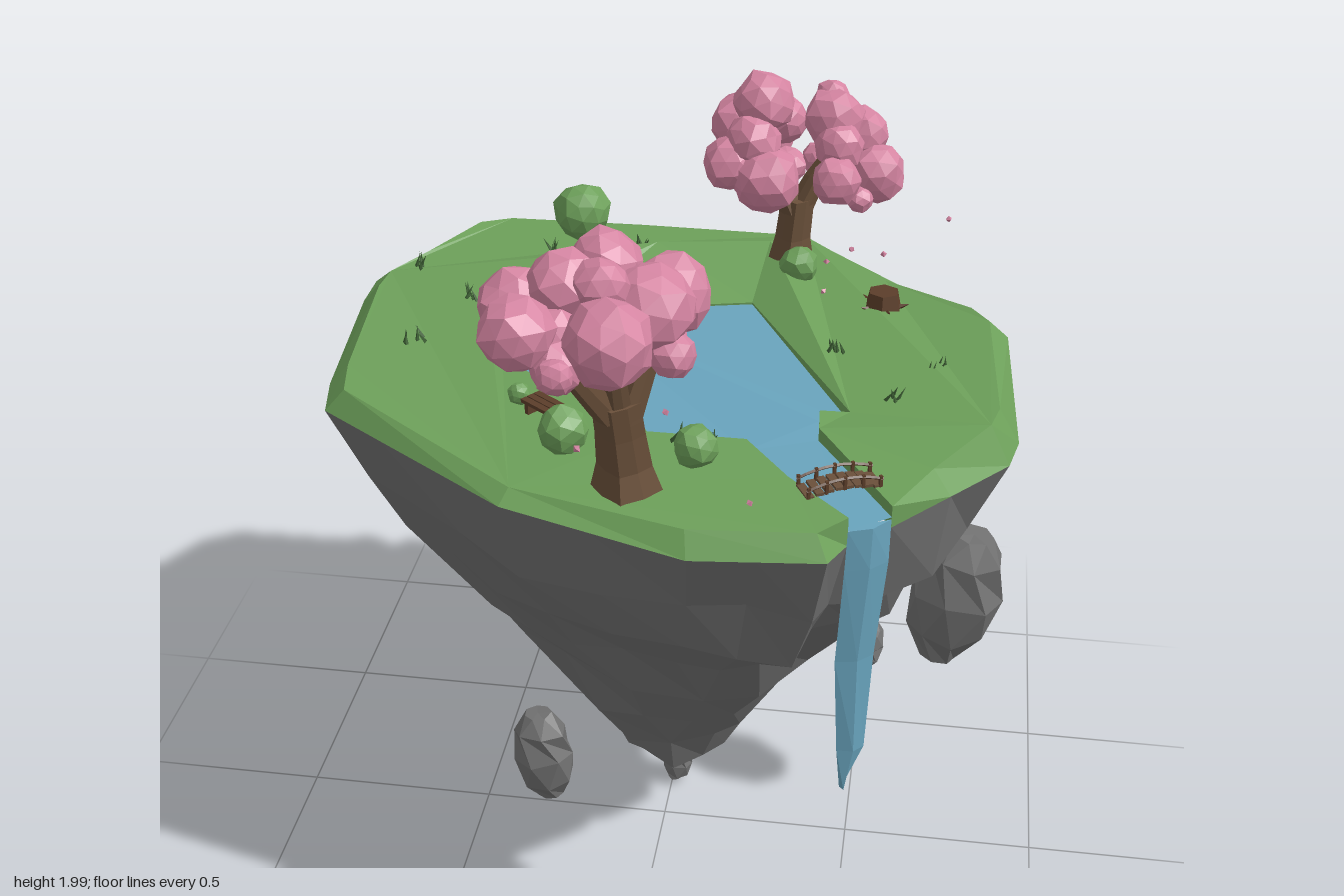
import * as THREE from 'three';

const paint = (name, color, side = THREE.FrontSide) =>
  new THREE.MeshStandardMaterial({ name, color, side, flatShading: true });

let seed = 7;
const rand = () => (seed = (seed * 16807) % 2147483647) / 2147483647;
const jit = (a) => (rand() - 0.5) * 2 * a;
const V = (x, y, z) => new THREE.Vector3(x, y, z);

function fromTriangles(tris) {
  const g = new THREE.BufferGeometry().setFromPoints(tris);
  g.computeVertexNormals();
  return g;
}

// Skins closed loops listed from top to bottom, clockwise seen from above
function loft(rings, capTop, capBottom) {
  const t = [], n = rings[0].length;
  const face = (a, b, c) => a !== b && b !== c && c !== a && t.push(a, b, c);
  const mid = (ring) => ring.reduce((s, p) => s.add(p), V(0, 0, 0)).divideScalar(n);
  const top = rings[0], low = rings[rings.length - 1];
  for (let i = 0; i < n; i++) {
    const j = (i + 1) % n;
    for (let r = 0; r < rings.length - 1; r++) {
      const A = rings[r], B = rings[r + 1];
      face(A[i], A[j], B[i]);
      face(A[j], B[j], B[i]);
    }
    if (capTop) face(top[j], top[i], mid(top));
    if (capBottom) face(low[i], low[j], mid(low));
  }
  return t;
}

// Fills a loop with upward-facing triangles
function fill(loop) {
  const t = [];
  for (const [a, b, c] of THREE.ShapeUtils.triangulateShape(loop.map((p) => new THREE.Vector2(p.x, p.z)), [])) {
    const A = loop[a], B = loop[b], C = loop[c];
    const up = (B.z - A.z) * (C.x - A.x) - (B.x - A.x) * (C.z - A.z) > 0;
    t.push(A, up ? B : C, up ? C : B);
  }
  return t;
}

// Island rim (x, z), starting and ending at the stream mouth
const RIM = [[0.485, 0.59], [0.45, 0.7], [0.15, 0.71], [-0.28, 0.6], [-0.79, 0.21], [-0.82, 0.07], [-0.867, -0.4],
  [-0.86, -0.5], [-0.78, -0.64], [-0.66, -0.83], [-0.58, -0.89], [-0.2, -0.9], [0.27, -0.875], [0.53, -0.65],
  [0.77, -0.44], [0.82, -0.36], [0.85, 0.12], [0.83, 0.2], [0.7, 0.38], [0.575, 0.52]];
// Pond and stream bank, from the right side of the mouth round to the left
const BANK = [[0.39, 0.21], [0.385, 0.13], [0.455, 0.11], [0.16, -0.47], [-0.29, -0.36], [-0.415, -0.06],
  [-0.02, 0.24], [0, 0.28], [0.23, 0.28], [0.34, 0.43]];
// Crest of the slope behind the pond
const CREST = [[0.18, -0.72], [-0.12, -0.67], [-0.37, -0.54], [-0.48, -0.2]];

export function createModel() {
  const model = new THREE.Group();
  model.name = 'floatingIsland';
  const rockMat = paint('rock grey', 0x717171);
  const grassMat = paint('grass green', 0x6da05a);
  const waterMat = paint('water blue', 0x69a4bd, THREE.DoubleSide);
  const blossomMat = paint('blossom pink', 0xd585a2);
  const barkMat = paint('bark brown', 0x6a503a);
  const plankMat = paint('plank brown', 0x5c3e2a);
  const tuftMat = paint('tuft green', 0x3f6136);

  const add = (name, geo, mat, pos = [0, 0, 0], parent = model) => {
    const m = new THREE.Mesh(geo, mat);
    m.name = name;
    m.position.set(...pos);
    parent.add(m);
    return m;
  };
  const group = (name, pos = [0, 0, 0]) => {
    const g = new THREE.Group();
    g.name = name;
    g.position.set(...pos);
    model.add(g);
    return g;
  };
  // Lumpy faceted ball for leaves
  const ball = (name, [x, y, z, r], mat, parent) => {
    const geo = new THREE.IcosahedronGeometry(1, 1), p = geo.attributes.position, o = rand() * 9;
    for (let i = 0; i < p.count; i++) {
      const k = r * (1.02 + 0.09 * Math.sin(p.getX(i) * 5 + o) * Math.cos(p.getY(i) * 6 + p.getZ(i) * 4 - o));
      p.setXYZ(i, p.getX(i) * k, p.getY(i) * k, p.getZ(i) * k);
    }
    geo.computeVertexNormals();
    add(name, geo, mat, [x, y, z], parent).rotation.set(rand() * 6, rand() * 6, rand() * 6);
  };

  // Grass cap with the pond cut out and a slope down to the water at the back
  const rimLow = RIM.map(([x, z], i) => V(x, (i === 3 || (x > 0.2 && z < -0.3) ? 1.355 : 1.325) + jit(0.012), z));
  const last = RIM.length - 1;
  const rimTop = RIM.map(([x, z], i) => {
    const s = i === 0 || i === last ? 1 : z < -0.8 ? 0.97 : 0.94;
    return V(x * s, 1.378 + (x > 0.75 ? 0.037 : 0) + jit(0.008), z * s);
  });
  const bankTop = BANK.map(([x, z]) => V(x, z < 0 && x < 0.4 ? 1.356 : 1.38 + jit(0.006), z));
  const bankLow = BANK.map(([x, z]) => V(x, 1.33, z));
  const crest = CREST.map(([x, z]) => V(x, z < -0.3 ? 1.42 : 1.395, z));
  const lawn = [...rimTop, ...bankTop.slice(0, 4), ...crest, ...bankTop.slice(5)];
  const slope = [...bankTop.slice(3, 6), ...crest.slice().reverse()];
  const walls = loft([[...rimTop, ...bankTop], [...rimLow, ...bankLow]]);
  add('grass', fromTriangles([...fill(lawn), ...fill(slope), ...walls]), grassMat);

  // Pond, stream and waterfall
  const pond = [...BANK, RIM[0], RIM[last]].map(([x, z]) => V(x, 1.352 + jit(0.004), z));
  add('pond', fromTriangles(fill(pond)), waterMat);
  const sheet = [[1.352, 0.485, 0.575, 0.594, 0.53], [1.25, 0.482, 0.575, 0.595, 0.54], [1.0, 0.472, 0.556, 0.588, 0.545],
    [0.75, 0.487, 0.548, 0.588, 0.562], [0.64, 0.498, 0.504, 0.584, 0.58]].map(([y, xl, xr, zl, zr]) =>
    [V(xr, y, zr), V((xl + xr) / 2 + 0.008, y, (zl + zr) / 2 + 0.012), V(xl, y, zl), V((xl + xr) / 2 - 0.004, y, (zl + zr) / 2 - 0.006)]);
  add('waterfall', fromTriangles(loft(sheet, true, true)), waterMat);

  // Rock underside, narrowing in rough rings that get rounder and coarser towards the tip
  const edge = [];
  rimLow.forEach((p, i) => {
    const q = rimLow[(i + 1) % rimLow.length], n = Math.ceil(p.distanceTo(q) / 0.3);
    for (let k = 0; k < n; k++) edge.push(p.clone().lerp(q, k / n));
  });
  const levels = [[1.13, 0.92, 0, 1], [1.0, 0.79, 0.08, 1], [0.85, 0.655, 0.2, 1], [0.69, 0.51, 0.45, 2],
    [0.51, 0.345, 0.75, 2], [0.36, 0.225, 1, 3], [0.265, 0.16, 1, 3]];
  const start = Math.atan2(edge[0].z, edge[0].x);
  const rockRings = levels.map(([y, s, round, step], r) => {
    const ring = [];
    edge.forEach((p, i) => {
      if (i % step) return ring.push(ring[i - 1]);
      const a = start + i / edge.length * Math.PI * 2, k = s * (1 + jit(0.05)), d = (1.3 - y) * 0.03;
      const q = p.clone().lerp(V(Math.cos(a) * 0.84, 0, Math.sin(a) * 0.84), round);
      return ring.push(V(q.x * k + d, y + jit(r === 6 ? 0.02 : 0.04), q.z * k - d));
    });
    return ring;
  });
  add('islandRock', fromTriangles(loft([edge, ...rockRings], false, true)), rockMat);

  // Floating boulders: centre, half sizes, then tilt about x and z
  [[0.74, 0.74, -0.1, 0.118, 0.2, 0.11, 0, -0.18], [0.525, 0.51, -0.17, 0.044, 0.07, 0.067, 0.3, -0.2],
    [-0.28, 0.375, 0.245, 0.082, 0.135, 0.076, 0, 0.1], [-0.17, 0.475, -0.685, 0.1, 0.155, 0.088, -0.32, 0],
    [0.015, 0.068, -0.155, 0.044, 0.064, 0.05, 0, -0.15]].forEach(([x, y, z, a, b, c, tx, tz]) => {
    const rings = [[0.97, 0.42], [0.6, 0.84], [0.05, 1], [-0.5, 0.84], [-0.97, 0.4]].map(([h, s], r) =>
      Array.from({ length: 7 }, (_, i) => {
        const t = (i + (r % 2) * 0.5) / 7 * Math.PI * 2, k = s * (1 + jit(0.08));
        return V(Math.cos(t) * a * k, (h + jit(r % 4 ? 0.08 : 0.03)) * b, Math.sin(t) * c * k);
      }));
    add('boulder', fromTriangles(loft(rings, true, true)), rockMat, [x, y, z]).rotation.set(tx, 0, tz);
  });

  // Trees: limbs are lists of [x, y, z, radius] from top to bottom
  const limb = (path) => fromTriangles(loft(path.map(([x, y, z, r]) => Array.from({ length: 8 }, (_, i) => {
    const t = i / 8 * Math.PI * 2, k = r * (i % 2 ? 0.88 : 1.08);
    return V(x + Math.cos(t) * k, y, z + Math.sin(t) * k);
  })), true, false));
  const tree = (name, limbs, puffs) => {
    const g = group(name);
    limbs.forEach((p, i) => add(i ? 'branch' : 'trunk', limb(p), barkMat, undefined, g));
    puffs.forEach((p) => ball('blossom', p, blossomMat, g));
  };
  tree('frontTree', [
    [[-0.02, 1.62, 0.575, 0.05], [-0.015, 1.53, 0.55, 0.052], [-0.01, 1.44, 0.53, 0.058], [-0.005, 1.36, 0.525, 0.08]],
    [[-0.13, 1.82, 0.72, 0.022], [-0.09, 1.71, 0.65, 0.033], [-0.03, 1.58, 0.57, 0.044]],
    [[0.06, 1.82, 0.5, 0.022], [0.035, 1.71, 0.535, 0.033], [-0.01, 1.57, 0.565, 0.042]],
    [[0.0, 1.82, 0.7, 0.018], [-0.015, 1.7, 0.62, 0.025], [-0.015, 1.59, 0.575, 0.03]],
  ], [[0.02, 1.775, 0.385, 0.067], [0.085, 1.84, 0.49, 0.087], [-0.04, 1.92, 0.55, 0.078], [0.06, 1.86, 0.61, 0.095],
    [-0.21, 1.86, 0.64, 0.08], [-0.11, 1.91, 0.64, 0.08], [-0.18, 1.87, 0.78, 0.078], [0, 1.85, 0.76, 0.092],
    [-0.09, 1.82, 0.855, 0.037], [0.11, 1.78, 0.65, 0.05], [-0.12, 1.83, 0.71, 0.07], [0.02, 1.79, 0.46, 0.06],
    [-0.03, 1.93, 0.67, 0.06], [0.08, 1.77, 0.56, 0.05], [-0.04, 1.86, 0.6, 0.07], [-0.1, 1.8, 0.78, 0.055]]);
  tree('backTree', [
    [[0.255, 1.58, -0.65, 0.04], [0.245, 1.47, -0.65, 0.043], [0.24, 1.36, -0.65, 0.064]],
    [[0.36, 1.74, -0.68, 0.018], [0.3, 1.64, -0.67, 0.028], [0.25, 1.53, -0.65, 0.036]],
    [[0.14, 1.73, -0.63, 0.018], [0.2, 1.64, -0.64, 0.028], [0.25, 1.53, -0.65, 0.036]],
  ], [[0.1, 1.75, -0.71, 0.085], [0.17, 1.69, -0.78, 0.06], [0.085, 1.7, -0.57, 0.07], [0.18, 1.67, -0.55, 0.085],
    [0.16, 1.84, -0.64, 0.078], [0.35, 1.69, -0.775, 0.072], [0.34, 1.8, -0.66, 0.077], [0.36, 1.68, -0.54, 0.062],
    [0.455, 1.67, -0.63, 0.075], [0.41, 1.75, -0.69, 0.07], [0.2, 1.76, -0.74, 0.065], [0.36, 1.75, -0.6, 0.062],
    [0.13, 1.64, -0.62, 0.05], [0.42, 1.62, -0.57, 0.035], [0.33, 1.84, -0.7, 0.045], [0.14, 1.76, -0.58, 0.07],
    [0.22, 1.64, -0.72, 0.05], [0.3, 1.66, -0.73, 0.045]]);

  // Bushes
  [[-0.33, 1.485, -0.69, 0.075], [-0.17, 1.445, 0.41, 0.057], [-0.32, 1.4, 0.18, 0.027], [0.13, 1.42, 0.4, 0.05],
    [0.27, 1.42, -0.58, 0.05]].forEach((p) => ball('bush', p, grassMat));

  // Arched footbridge over the stream
  const bridge = group('bridge', [0.455, 1.375, 0.455]);
  bridge.rotation.y = 0.47;
  const arch = (x) => 0.018 * (1 - (x / 0.1) ** 2);
  for (let i = 0; i < 8; i++) {
    const x = -0.0805 + i * 0.023;
    add('plank', new THREE.BoxGeometry(0.019, 0.007, 0.062), barkMat, [x, arch(x), 0], bridge);
  }
  for (const z of [-0.03, 0.03]) {
    const rail = new THREE.QuadraticBezierCurve3(V(-0.09, 0.024, z), V(0, 0.058, z), V(0.09, 0.024, z));
    add('rail', new THREE.TubeGeometry(rail, 8, 0.004, 4), plankMat, undefined, bridge);
    for (const x of [-0.085, -0.043, 0, 0.043, 0.085]) {
      add('post', new THREE.BoxGeometry(0.007, 0.032, 0.007), plankMat, [x, arch(x) + 0.012, z], bridge);
    }
  }

  // Slatted bench beside the pond
  const bench = group('bench', [-0.25, 1.405, 0.23]);
  bench.rotation.y = -0.65;
  for (const z of [-0.02, 0, 0.02]) add('slat', new THREE.BoxGeometry(0.1, 0.009, 0.017), plankMat, [0, 0, z], bench);
  for (const x of [-0.035, 0.035]) add('leg', new THREE.BoxGeometry(0.012, 0.03, 0.05), plankMat, [x, -0.017, 0], bench);

  // Tree stump with roots
  const stump = group('stump', [0.5, 1.375, -0.435]);
  add('stumpWood', new THREE.CylinderGeometry(0.04, 0.054, 0.06, 6), plankMat, [0, 0.025, 0], stump);
  for (let t = 0; t < 6; t += 1.257) {
    add('root', new THREE.ConeGeometry(0.014, 0.05, 4), plankMat, [Math.cos(t) * 0.045, 0.015, Math.sin(t) * 0.045], stump)
      .rotation.set(0, -t, -1.2, 'YXZ');
  }

  // Grass tufts
  [[-0.73, -0.47], [-0.55, -0.31], [-0.42, -0.32], [-0.43, -0.2], [-0.64, -0.08], [-0.16, -0.68], [-0.4, -0.62], [0.4, -0.18],
    [0.56, 0.06], [0.65, -0.1], [0.08, 0.31], [0.15, 0.32]].forEach(([x, z]) => {
    const g = group('grassTuft', [x, x < -0.1 && z < -0.15 ? 1.395 : 1.385, z]);
    for (let i = 0; i < 5; i++) {
      add('blade', new THREE.ConeGeometry(0.006, 0.042, 3), tuftMat, [jit(0.02), 0.016, jit(0.02)], g).rotation.set(jit(0.5), 0, jit(0.5));
    }
  });

  // Drifting petals
  [[0.65, 1.58, -0.57], [0.35, 1.5, -0.44], [0.35, 1.45, -0.37], [0.49, 1.48, -0.55], [0.41, 1.52, -0.48],
    [0.27, 1.39, 0.57], [-0.06, 1.63, 0.8], [0.1, 1.65, 0.66]].forEach((p) => {
    add('petal', new THREE.OctahedronGeometry(0.009), blossomMat, p).rotation.set(rand(), rand(), rand());
  });
  return model;
}
